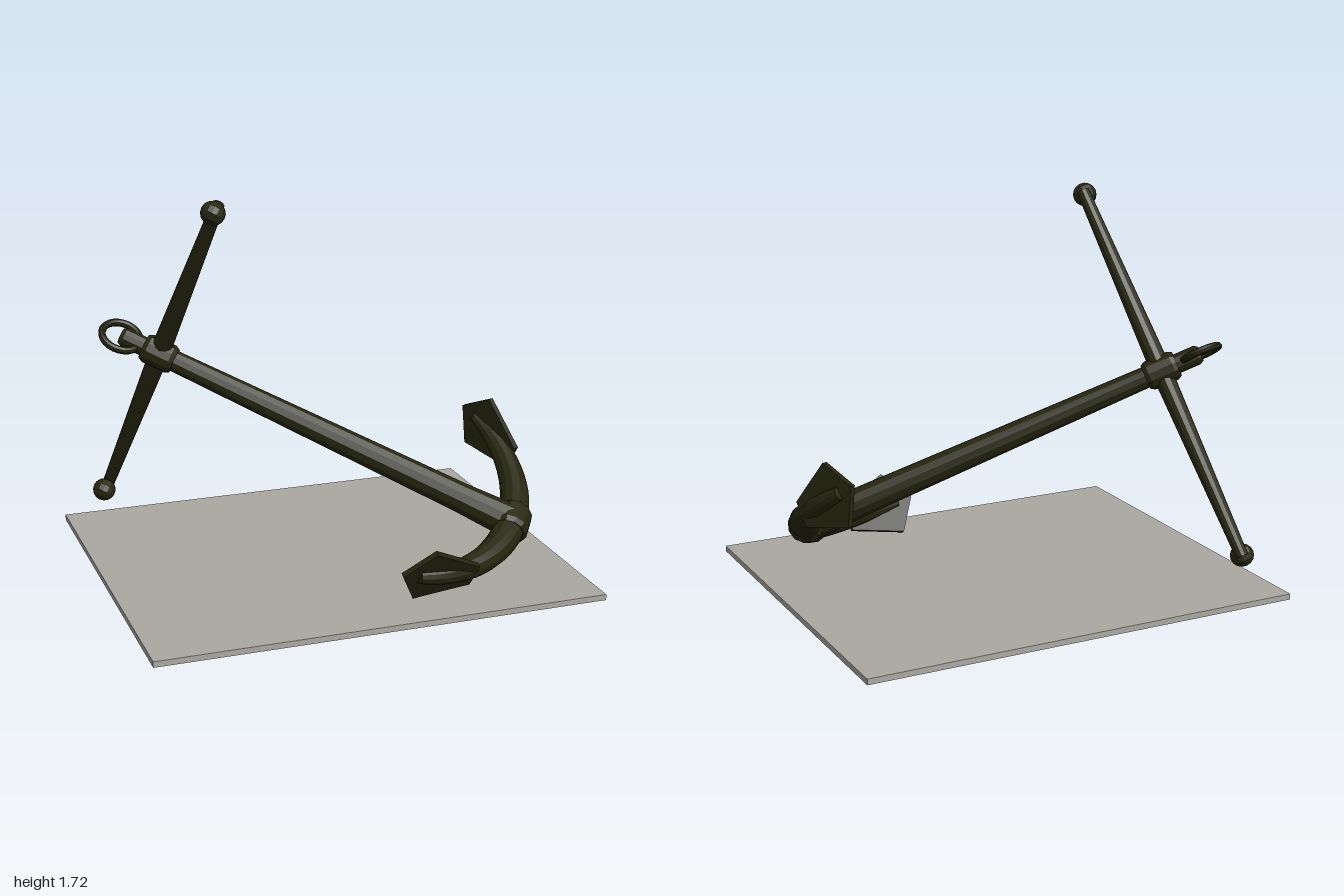
import * as THREE from 'three';
import { toCreasedNormals } from 'three/addons/utils/BufferGeometryUtils.js';

export function createModel() {
  const model = new THREE.Group();
  model.name = 'anchorOnPlinth';

  const iron = new THREE.MeshStandardMaterial({ color: 0x26260f });
  iron.name = 'dark iron';
  const stone = new THREE.MeshStandardMaterial({ color: 0xaaa8a0 });
  stone.name = 'grey stone';

  const add = (parent, name, geometry, material = iron, crease = 0.4) => {
    const mesh = new THREE.Mesh(toCreasedNormals(geometry, crease), material);
    mesh.name = name;
    parent.add(mesh);
    return mesh;
  };
  const turned = (profile, sides = 12) =>
    new THREE.LatheGeometry(profile.map(([r, y]) => new THREE.Vector2(r, y)), sides);

  // Base slab
  add(model, 'baseSlab', new THREE.BoxGeometry(2, 0.026, 1.7), stone).position.y = 0.013;

  // Anchor frame: x along the arms, y up the shank, z along the stock, origin at the crown
  const anchor = new THREE.Group();
  anchor.name = 'anchor';
  const stockDir = new THREE.Vector3(0.1705, 0.841, 0.511).normalize();
  const shankDir = new THREE.Vector3(-0.81, 0.413, -0.408);
  shankDir.addScaledVector(stockDir, -shankDir.dot(stockDir)).normalize();
  const armDir = new THREE.Vector3().crossVectors(shankDir, stockDir);
  anchor.quaternion.setFromRotationMatrix(new THREE.Matrix4().makeBasis(armDir, shankDir, stockDir));
  anchor.position.set(0.75, 0.23, 0.41);
  model.add(anchor);

  // Shank with flared foot and narrow head
  add(anchor, 'shank', turned([
    [0, 0], [0.08, 0], [0.074, 0.12], [0.068, 0.25], [0.048, 1.68],
    [0.044, 1.8], [0.044, 1.9], [0.034, 1.918], [0, 1.918],
  ]));

  // Collar where the stock passes through the shank
  const stockY = 1.73;
  add(anchor, 'stockCollar', turned([
    [0, -0.075], [0.056, -0.075], [0.067, -0.055], [0.067, 0.055], [0.056, 0.075], [0, 0.075],
  ])).position.y = stockY;

  // Tapered stock with an offset ball at each end
  const stock = add(anchor, 'stock', turned([
    [0, -0.885], [0.028, -0.885], [0.045, -0.05], [0.045, 0.05], [0.028, 0.885], [0, 0.885],
  ]));
  stock.rotation.x = Math.PI / 2;
  stock.position.set(0.005, stockY, 0);
  for (const side of [-1, 1]) {
    const ball = add(anchor, 'stockBall', new THREE.SphereGeometry(0.053, 10, 8), iron, 0.3);
    ball.position.set(-0.056, stockY, side * 0.88);
  }

  // Shackle ring through the head
  add(anchor, 'shackleRing', new THREE.TorusGeometry(0.087, 0.017, 8, 24))
    .position.set(-0.005, 1.915, 0);

  // Crown knuckle
  const crown = add(anchor, 'crown', turned([
    [0, -0.07], [0.07, -0.07], [0.084, -0.05], [0.084, 0.05], [0.07, 0.07], [0, 0.07],
  ]));
  crown.rotation.z = Math.PI / 2;

  // Arms: a cylinder bent along an arc and tapered toward both tips
  const arcRadius = 0.657, arcAngle = 1.01;
  const arms = new THREE.CylinderGeometry(1, 1, 2, 12, 28);
  const p = arms.attributes.position;
  for (let i = 0; i < p.count; i++) {
    const t = p.getY(i);
    const thick = 0.069 - 0.037 * Math.pow(Math.abs(t), 1.6);
    const r = arcRadius + p.getX(i) * thick;
    const a = t * arcAngle;
    p.setXYZ(i, r * Math.sin(a), arcRadius - r * Math.cos(a), p.getZ(i) * thick);
  }
  // Bending turns the cylinder end for end, keeping its handedness
  arms.computeVertexNormals();
  add(anchor, 'arms', arms);

  // Flukes: flat five-sided palms lying along the arm tips
  const outline = new THREE.Shape([
    [0, 0.105], [-0.148, 0], [-0.06, -0.24], [0.06, -0.24], [0.148, 0],
  ].map(([x, y]) => new THREE.Vector2(x, y)));
  for (const side of [-1, 1]) {
    const palm = new THREE.ExtrudeGeometry(outline, { depth: 0.025, bevelEnabled: false });
    palm.translate(0, 0, -0.0125);
    palm.rotateY(Math.PI / 2);
    const fluke = add(anchor, 'fluke', palm);
    fluke.position.set(side * 0.535, 0.288, 0);
    fluke.rotation.z = -side * 0.6;
  }

  return model;
}
